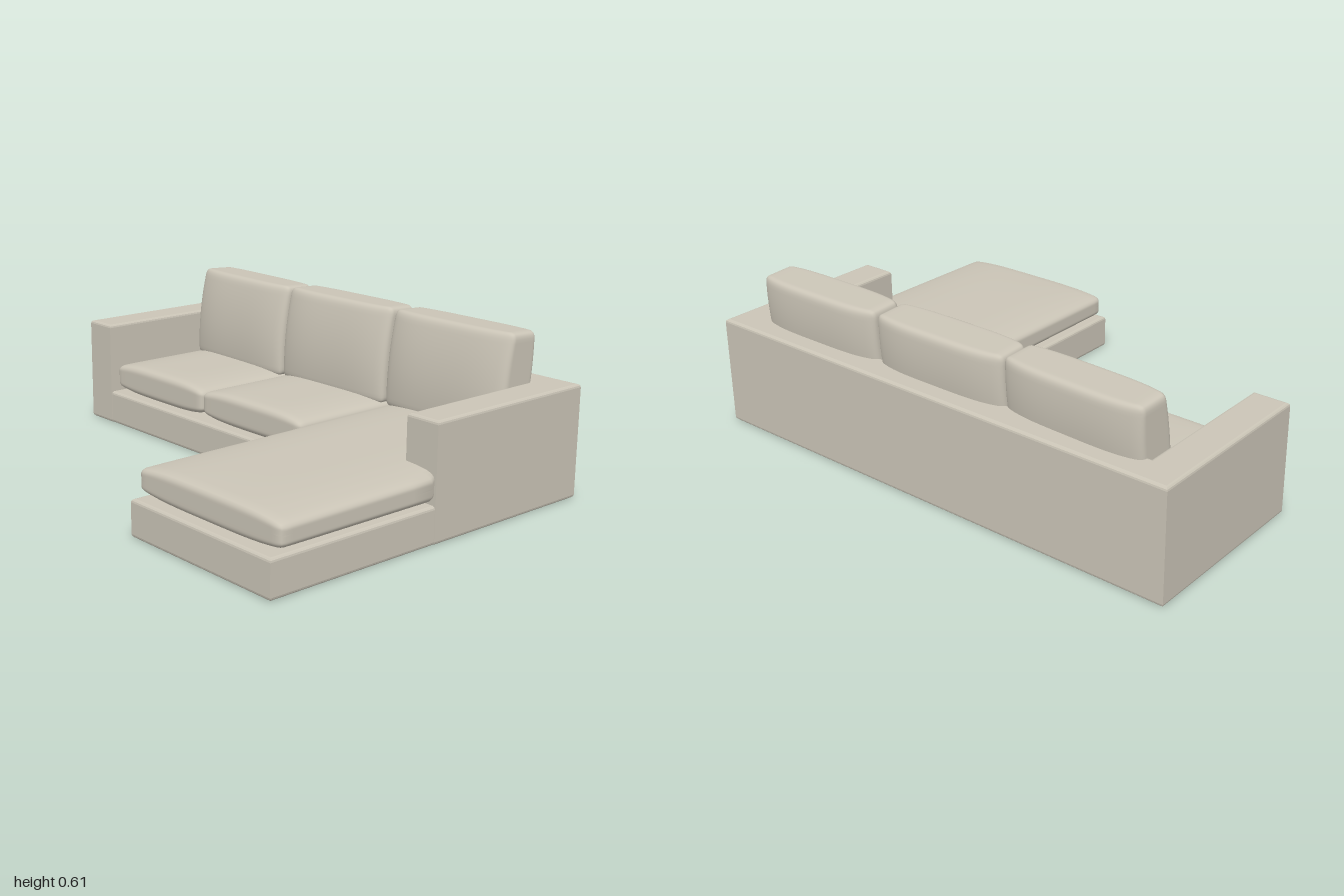
import * as THREE from 'three';
import { mergeVertices } from 'three/addons/utils/BufferGeometryUtils.js';

const fabric = new THREE.MeshStandardMaterial({ color: 0xcbc5b7 });
fabric.name = 'beige fabric';

// Upright slab from a floor plan of [x, z] points, with softly bevelled edges
function slab(name, plan, height) {
  const b = 0.012;
  const shape = new THREE.Shape(plan.map(([x, z]) => new THREE.Vector2(x, -z)));
  const geo = new THREE.ExtrudeGeometry(shape, {
    depth: height - 2 * b, bevelEnabled: true, bevelSize: b, bevelThickness: b,
    bevelOffset: -b, bevelSegments: 3,
  });
  geo.rotateX(-Math.PI / 2).translate(0, b, 0);
  const mesh = new THREE.Mesh(geo, fabric);
  mesh.name = name;
  return mesh;
}

// Rounded, finely divided box reshaped by a rule; n is the position scaled to -1..1
function cushion(name, size, centre, r, rule) {
  const half = new THREE.Vector3(...size).multiplyScalar(0.5);
  const inner = half.clone().subScalar(r);
  const low = inner.clone().negate();
  let geo = new THREE.BoxGeometry(2, 2, 2, 24, 24, 24);
  geo.deleteAttribute('normal');
  geo.deleteAttribute('uv');
  geo = mergeVertices(geo);
  const pos = geo.attributes.position;
  const p = new THREE.Vector3(), core = new THREE.Vector3(), n = new THREE.Vector3();
  const ease = (t) => Math.sin(t * Math.PI / 2); // crowd the grid towards the edges
  for (let i = 0; i < pos.count; i++) {
    p.fromBufferAttribute(pos, i);
    p.set(ease(p.x), ease(p.y), ease(p.z)).multiply(half);
    core.copy(p).clamp(low, inner);
    p.sub(core).setLength(r).add(core);
    n.copy(p).divide(half);
    rule(p, n);
    pos.setXYZ(i, p.x, p.y, p.z);
  }
  geo.computeVertexNormals();
  const mesh = new THREE.Mesh(geo, fabric);
  mesh.position.set(...centre);
  mesh.name = name;
  return mesh;
}

// Seat pads swell in the middle and thin out towards the sides
const swell = (p, n) => {
  p.y *= 0.64 + 0.36 * (1 - n.x ** 4) * (1 - 0.25 * n.z ** 6);
};

export function createModel() {
  const sofa = new THREE.Group();
  sofa.name = 'cornerSofa';

  // L-shaped plinth with the chaise on the model's left
  sofa.add(slab('base', [
    [-0.99, -0.71], [0.988, -0.71], [0.988, 0.72], [0.295, 0.72],
    [0.295, -0.013], [-0.99, -0.013],
  ], 0.135));

  // Backrest and both arms in one U-shaped frame
  sofa.add(slab('backAndArms', [
    [-1, -0.72], [0.99, -0.72], [0.99, 0.015], [0.855, 0.015], [0.855, -0.6],
    [-0.86, -0.6], [-0.86, -0.01], [-1, -0.01],
  ], 0.42));

  // Two seat cushions
  [-0.575, -0.005].forEach((x, i) => {
    sofa.add(cushion('seatCushion' + (i + 1), [0.57, 0.13, 0.57], [x, 0.2, -0.325], 0.028, swell));
  });

  // Long chaise cushion, narrowed beside the arm
  sofa.add(cushion('chaiseCushion', [0.705, 0.13, 1.29], [0.6475, 0.2, 0.045], 0.028, (p, n) => {
    swell(p, n);
    if (p.y > 0) p.y -= 0.008 * (n.z + 1) / 2;
    if (p.z < -0.03) p.x = Math.min(p.x, 0.3);
  }));

  // Three leaning back cushions, bowed front and back
  [[-0.57, -0.04], [-0.005, 0], [0.575, 0]].forEach(([x, turn], i) => {
    const back = cushion('backCushion' + (i + 1), [0.565, 0.365, 0.205], [x, 0.4225, -0.545], 0.025, (p, n) => {
      p.z *= (1 - 0.2 * n.y * n.y) * (1 - 0.27 * n.x ** 4);
      p.z -= 0.022 * n.y;
      if (n.y > 0) p.y += 0.05 * n.y * p.z;
    });
    back.rotation.y = turn;
    sofa.add(back);
  });

  return sofa;
}
